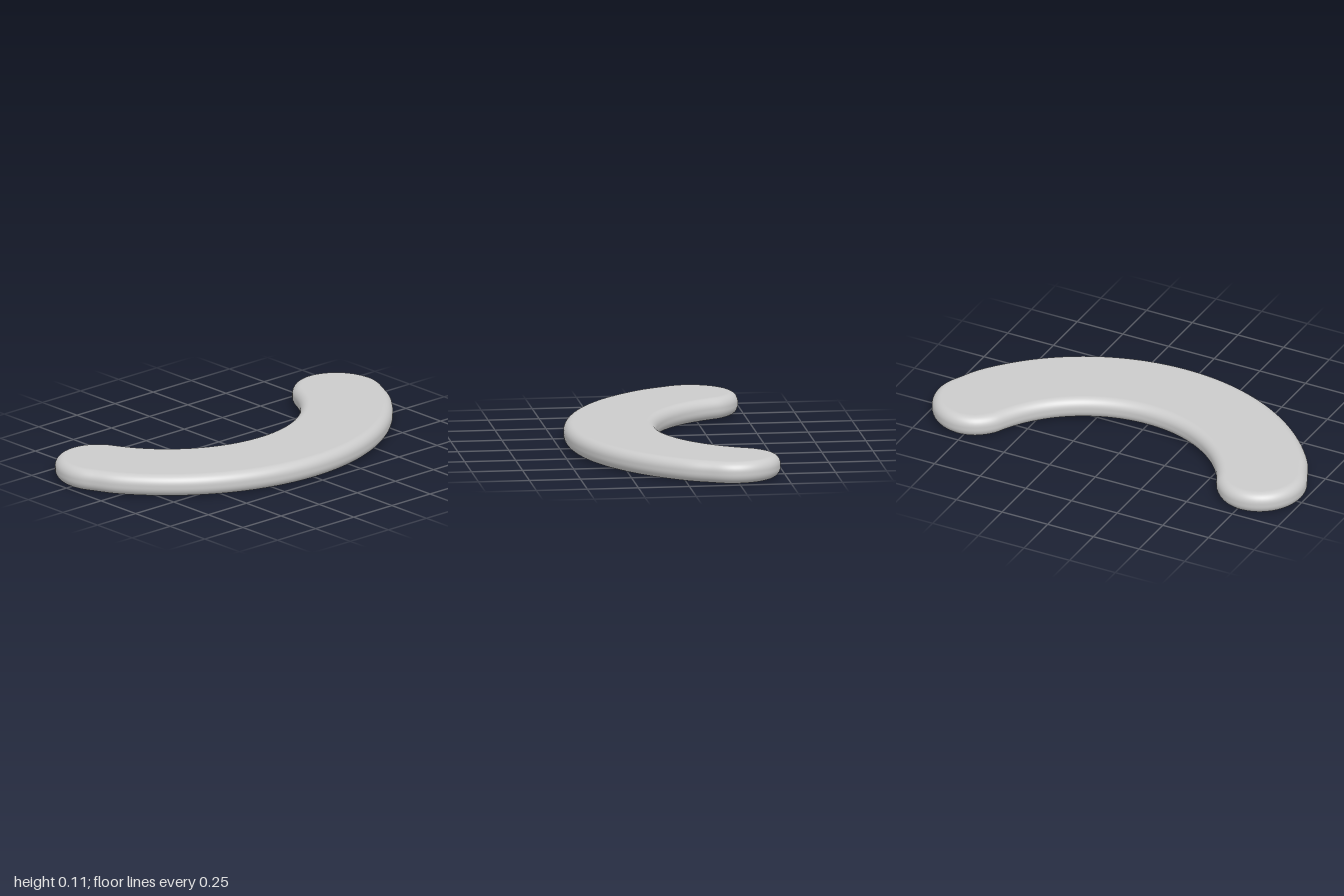
import * as THREE from 'three';
import { mergeVertices } from 'three/addons/utils/BufferGeometryUtils.js';

const CENTRE_X = -0.624, OUTER_R = 1.097, INNER_R = 0.646;
const HEIGHT = 0.108, EDGE = 0.047;

// Points on an arc about the crescent's centre, from angle a to b in degrees
function arc(r, a, b, n) {
  return Array.from({ length: n + 1 }, (_, i) => {
    const t = THREE.MathUtils.degToRad(a + ((b - a) * i) / n);
    return [CENTRE_X + r * Math.cos(t), r * Math.sin(t)];
  });
}

// Closed smooth outline: one half, then its mirror image
function crescentOutline() {
  const tip = [
    [-0.105, 0.957], [-0.17, 0.987], [-0.24, 0.999], [-0.33, 0.982], [-0.41, 0.93],
    [-0.46, 0.855], [-0.476, 0.77], [-0.455, 0.685], [-0.39, 0.608], [-0.315, 0.567],
  ];
  const half = [...arc(OUTER_R, 0, 56, 8), ...tip, ...arc(INNER_R, 54, 0, 6)];
  const mirrored = half.slice(1, -1).reverse().map(([x, z]) => [x, -z]);
  const points = [...half, ...mirrored].map(([x, z]) => new THREE.Vector3(x, z, 0));
  const curve = new THREE.CatmullRomCurve3(points, true, 'centripetal');
  return curve.getSpacedPoints(200).slice(0, -1).map((p) => new THREE.Vector2(p.x, p.y));
}

export function createModel() {
  const group = new THREE.Group();
  group.name = 'crescent';

  // Flat slab with a fully rounded rim
  let geometry = new THREE.ExtrudeGeometry(new THREE.Shape(crescentOutline()), {
    depth: HEIGHT - 2 * EDGE,
    bevelThickness: EDGE,
    bevelSize: EDGE,
    bevelOffset: -EDGE,
    bevelSegments: 10,
  });
  geometry.rotateX(-Math.PI / 2);
  geometry.translate(0, EDGE, 0);

  // Weld the faces for smooth shading
  geometry.deleteAttribute('uv');
  geometry.deleteAttribute('normal');
  geometry = mergeVertices(geometry, 1e-5);
  geometry.computeVertexNormals();

  const slab = new THREE.Mesh(geometry, new THREE.MeshStandardMaterial({ color: 0xcccccc }));
  slab.name = 'crescentSlab';
  group.add(slab);
  return group;
}
